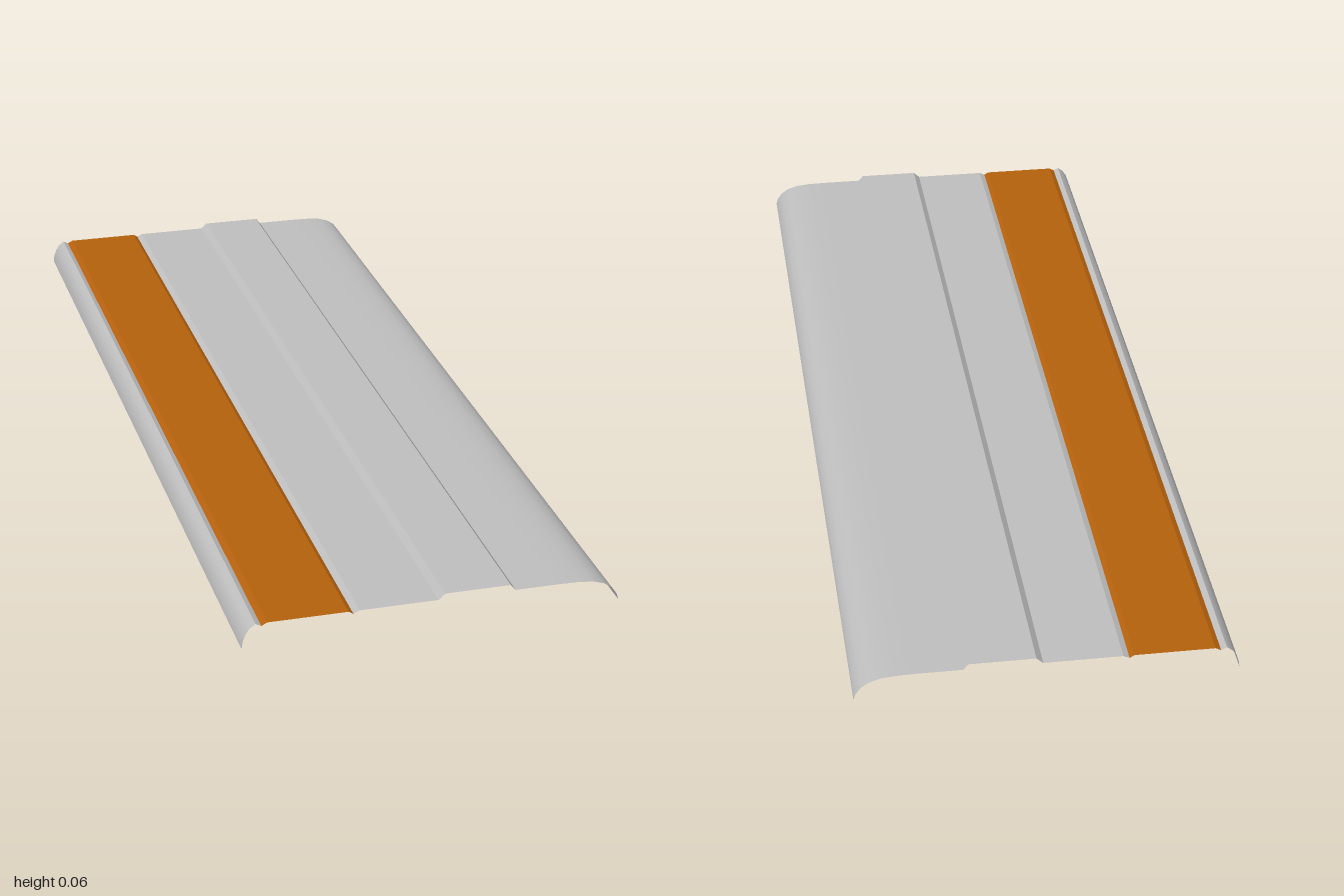
import * as THREE from 'three';

const grey = new THREE.MeshStandardMaterial({ color: 0xbebebe, side: THREE.DoubleSide });
grey.name = 'sheet grey';
const orange = new THREE.MeshStandardMaterial({ color: 0xb5610d, side: THREE.DoubleSide });
orange.name = 'stripe orange';

// Sweeps an open [x, y] profile, given left to right, along z from -1 to 1
function sheet(name, profile, material, smooth = false) {
  const positions = [];
  const index = [];
  for (const [x, y] of profile) positions.push(x, y, 1, x, y, -1);
  for (let i = 0; i < profile.length - 1; i++) {
    const a = i * 2;
    index.push(a, a + 2, a + 3, a, a + 3, a + 1);
  }
  let geometry = new THREE.BufferGeometry();
  geometry.setAttribute('position', new THREE.Float32BufferAttribute(positions, 3));
  geometry.setIndex(index);
  if (!smooth) geometry = geometry.toNonIndexed();
  geometry.computeVertexNormals();
  const mesh = new THREE.Mesh(geometry, material);
  mesh.name = name;
  return mesh;
}

export function createModel() {
  const group = new THREE.Group();
  group.name = 'ribbedPanel';
  const base = 0.05, raised = 0.062, groove = 0.044;

  group.add(
    // Rolled lip on the orange side
    sheet('rightLip', [[-0.373, 0], [-0.371, 0.014], [-0.366, 0.028], [-0.358, 0.041], [-0.346, base]], grey, true),
    sheet('rightLipGroove', [[-0.346, base], [-0.335, groove]], grey),
    // Coloured stripe with its edges folded down into the grooves
    sheet('orangeStripe', [[-0.335, groove], [-0.324, base], [-0.166, base], [-0.157, groove]], orange),
    // Flat sheet with one raised rib
    sheet('middleSheet', [[-0.157, groove], [-0.145, base], [0.01, base], [0.023, raised],
      [0.153, raised], [0.163, base]], grey),
    // Wide panel that curves down into the opposite lip
    sheet('leftPanel', [[0.163, base], [0.25, base], [0.29, 0.049], [0.32, 0.046], [0.342, 0.039],
      [0.358, 0.028], [0.369, 0.013], [0.373, 0]], grey, true),
  );
  return group;
}
